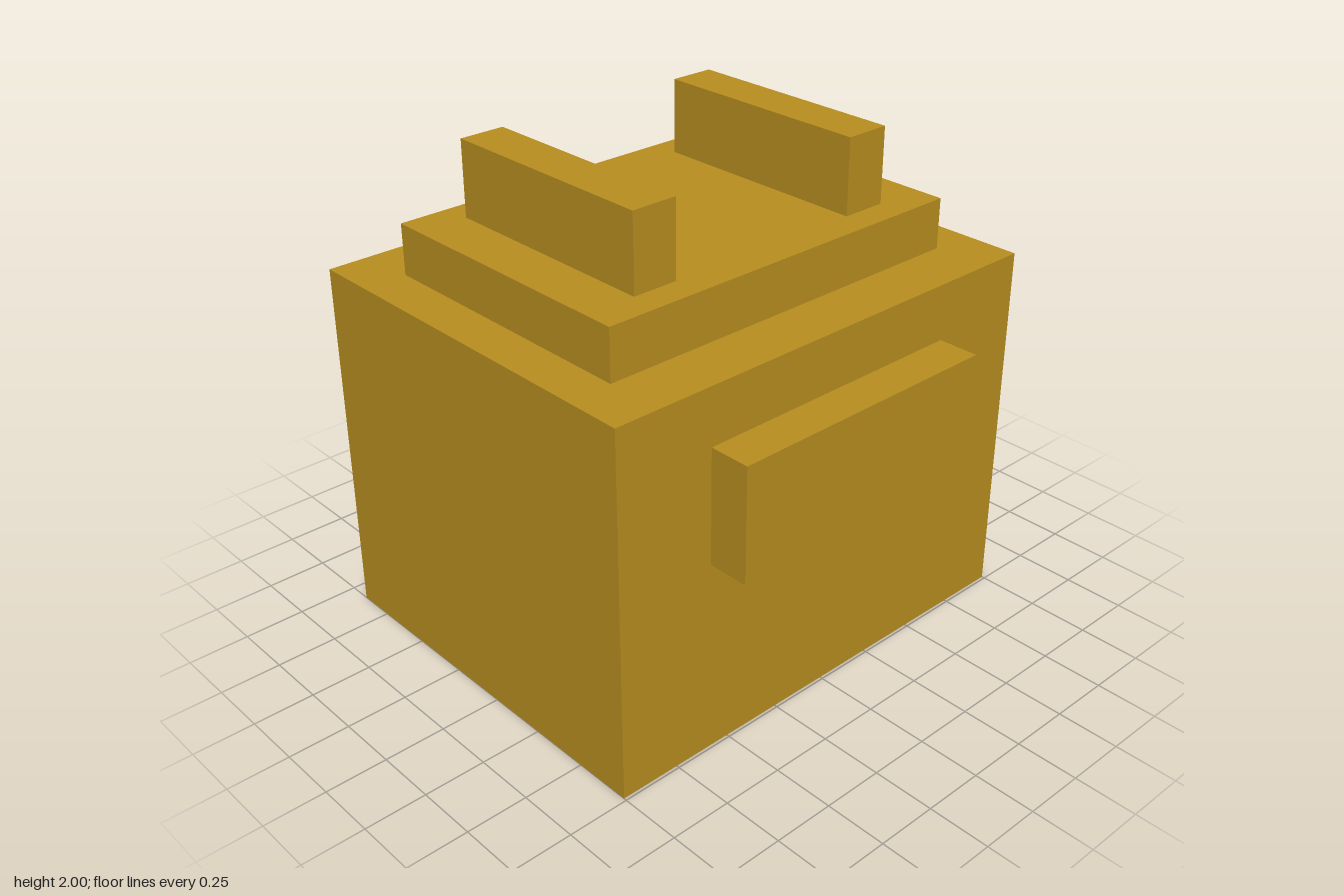
import * as THREE from 'three';

export function createModel() {
  const model = new THREE.Group();
  const gold = new THREE.MeshStandardMaterial({ color: 0xb98f21 });
  gold.name = 'gold';

  // Adds a box spanning the given [min, max] ranges
  function addBox(name, x, y, z) {
    const mid = (r) => (r[0] + r[1]) / 2;
    const geometry = new THREE.BoxGeometry(x[1] - x[0], y[1] - y[0], z[1] - z[0]);
    const mesh = new THREE.Mesh(geometry, gold);
    mesh.position.set(mid(x), mid(y), mid(z));
    mesh.name = name;
    model.add(mesh);
  }

  // Main block, raised lid and front plate
  addBox('body', [-1, 1], [0, 1.49], [-0.905, 0.738]);
  addBox('lid', [-0.82, 0.82], [1.49, 1.695], [-0.67, 0.505]);
  addBox('frontPlate', [-0.587, 0.587], [0.795, 1.26], [0.738, 0.905]);

  // Pair of ridges standing on the lid
  addBox('rightRidge', [-0.612, -0.424], [1.695, 2], [-0.555, 0.387]);
  addBox('leftRidge', [0.424, 0.612], [1.695, 2], [-0.555, 0.387]);

  return model;
}
